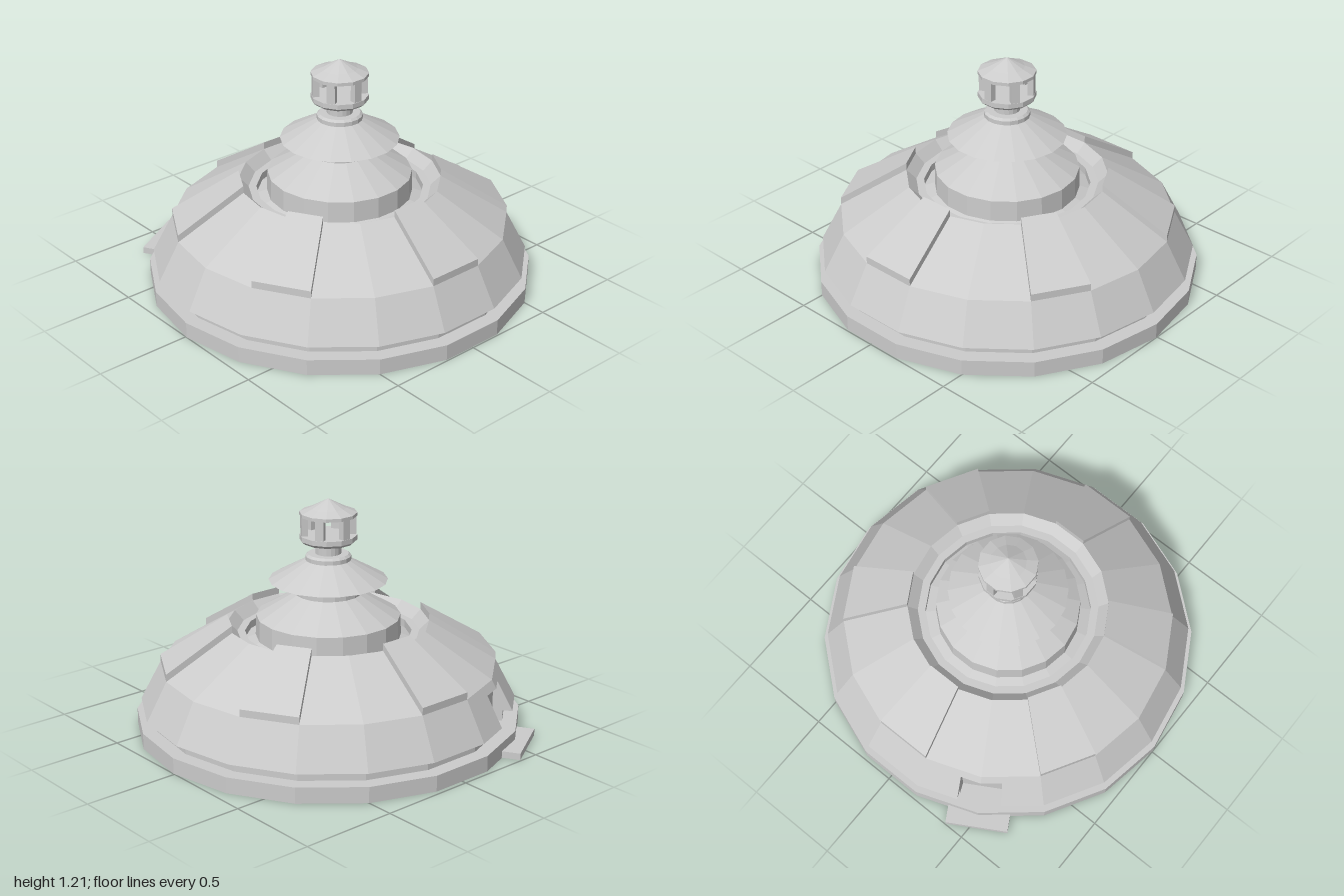
import * as THREE from 'three';

const SIDES = 18;
const rad = THREE.MathUtils.degToRad;
const material = new THREE.MeshStandardMaterial({ color: 0xcccccc, flatShading: true });
const thinMaterial = new THREE.MeshStandardMaterial({ color: 0xcccccc, flatShading: true, side: THREE.DoubleSide });

// Point at a polar position, angle in degrees from +z towards +x
const polar = (r, deg, y) => [r * Math.sin(rad(deg)), y, r * Math.cos(rad(deg))];

// Same, but lying on the flat facets of an 18-sided ring of corner radius r
function onFacet(r, deg, y) {
  const step = 360 / SIDES;
  const offset = deg - (Math.floor(deg / step) + 0.5) * step;
  return polar(r * Math.cos(rad(step / 2)) / Math.cos(rad(offset)), deg, y);
}

// Mesh from a list of four-cornered faces (counter-clockwise from outside)
function quadMesh(name, quads, mat = material) {
  const geometry = new THREE.BufferGeometry();
  const points = quads.flatMap(([a, b, c, d]) => [a, b, c, a, c, d]).flat();
  geometry.setAttribute('position', new THREE.Float32BufferAttribute(points, 3));
  geometry.computeVertexNormals();
  const mesh = new THREE.Mesh(geometry, mat);
  mesh.name = name;
  return mesh;
}

// Faceted turned part from [radius, height] pairs, bottom to top
function turned(name, profile, sides = SIDES, turn = 0, mat = material) {
  const points = profile.map(([r, y]) => new THREE.Vector2(r, y));
  const mesh = new THREE.Mesh(new THREE.LatheGeometry(points, sides), mat);
  mesh.rotation.y = rad(turn);
  mesh.name = name;
  return mesh;
}

// Lower wall, with a doorway cut out around the corner at 300 degrees
const wall = [[0.925, 0.08], [0.925, 0.14], [0.977, 0.14], [0.8935, 0.3], [0.87, 0.345]];
const doorStart = 293, doorMid = 300, doorEnd = 307, doorBack = 0.86, doorTop = 3;

function lowerWall() {
  const angles = Array.from({ length: SIDES + 1 }, (_, i) => i * 360 / SIDES);
  angles.push(doorStart, doorEnd);
  angles.sort((a, b) => a - b);
  const quads = [];
  for (let i = 0; i < angles.length - 1; i++) {
    const [a, b] = [angles[i], angles[i + 1]];
    const inDoor = a >= doorStart && b <= doorEnd;
    for (let j = inDoor ? doorTop : 0; j < wall.length - 1; j++) {
      const [[r0, y0], [r1, y1]] = [wall[j], wall[j + 1]];
      quads.push([onFacet(r0, a, y0), onFacet(r0, b, y0), onFacet(r1, b, y1), onFacet(r1, a, y1)]);
    }
  }
  return quadMesh('lowerWall', quads);
}

// Recess behind the doorway: two sides, back and ceiling
function doorway() {
  const quads = [];
  for (const a of [doorStart, doorEnd]) {
    for (let j = 0; j < doorTop; j++) {
      const [[r0, y0], [r1, y1]] = [wall[j], wall[j + 1]];
      quads.push([onFacet(r0, a, y0), polar(doorBack, a, y0), polar(doorBack, a, y1), onFacet(r1, a, y1)]);
    }
  }
  const [topRadius, topY] = wall[doorTop];
  quads.push([polar(doorBack, doorStart, 0.08), polar(doorBack, doorEnd, 0.08),
    polar(doorBack, doorEnd, topY), polar(doorBack, doorStart, topY)]);
  for (const [a, b] of [[doorStart, doorMid], [doorMid, doorEnd]]) {
    quads.push([polar(doorBack, a, topY), polar(doorBack, b, topY),
      onFacet(topRadius, b - 1e-4, topY), onFacet(topRadius, a, topY)]);
  }
  return quadMesh('doorway', quads, thinMaterial);
}

// Raised slab covering one facet of the sloping roof
function roofPanel(deg) {
  const [a, b] = [deg - 10, deg + 10];
  const lift = 0.038;
  const edge = (r, y) => [polar(r, a, y), polar(r, b, y), polar(r, b, y + lift), polar(r, a, y + lift)];
  const [o0, o1, o2, o3] = edge(0.87, 0.345);
  const [i0, i1, i2, i3] = edge(0.52, 0.56);
  return quadMesh('roofPanel', [
    [o0, o1, o2, o3], [o3, o2, i2, i3], [i1, i0, i3, i2], [o1, i1, i2, o2], [i0, o0, o3, i3],
  ]);
}

// Lantern with six pillars on a twelve-sided floor and roof
function lantern() {
  const group = new THREE.Group();
  group.name = 'lantern';
  group.add(turned('lanternFloor',
    [[0, 0.985], [0.13, 0.985], [0.147, 1.0], [0.147, 1.025], [0, 1.025]], 12, 15));
  group.add(turned('lanternRoof',
    [[0, 1.125], [0.147, 1.125], [0.147, 1.142], [0.09, 1.165], [0, 1.212]], 12, 15));
  for (let i = 0; i < 6; i++) {
    const pillar = new THREE.Mesh(new THREE.BoxGeometry(0.044, 0.11, 0.032), material);
    const deg = 30 + i * 60;
    pillar.position.set(...polar(0.124, deg, 1.075));
    pillar.rotation.y = rad(deg);
    pillar.name = 'lanternPillar';
    group.add(pillar);
  }
  return group;
}

export function createModel() {
  const model = new THREE.Group();
  model.name = 'domedBuilding';
  const body = new THREE.Group();
  body.name = 'body';
  body.position.x = 0.008;
  model.add(body);

  body.add(turned('base', [[0, 0], [1, 0], [1, 0.083], [0, 0.083]]));
  body.add(lowerWall(), doorway());

  // Sloping roof with its rim and the trough around the centre
  body.add(turned('roof', [[0.87, 0.345], [0.52, 0.56], [0.47, 0.51], [0.43, 0.51], [0.43, 0.47], [0.37, 0.47]],
    SIDES, 0, thinMaterial));
  for (let i = 0; i < 6; i++) body.add(roofPanel(30 + i * 60));

  // Stacked tower
  body.add(turned('lowerCone', [[0.43, 0.47], [0.375, 0.49], [0.372, 0.6], [0.172, 0.718], [0, 0.718]]));
  body.add(turned('drum', [[0.172, 0.71], [0.172, 0.768]]));
  body.add(turned('upperCone', [[0.172, 0.765], [0.305, 0.788], [0.11, 0.897], [0, 0.897]]));
  body.add(turned('collar', [[0.117, 0.892], [0.117, 0.915], [0.105, 0.926], [0, 0.926]]));
  body.add(turned('neck', [[0.066, 0.92], [0.066, 0.99]]));
  body.add(lantern());

  // Entrance step
  const step = new THREE.Mesh(new THREE.BoxGeometry(0.33, 0.035, 0.265), material);
  step.position.set(...polar(0.9325, doorMid, 0.0195));
  step.rotation.y = rad(doorMid);
  step.name = 'entranceStep';
  body.add(step);

  return model;
}
